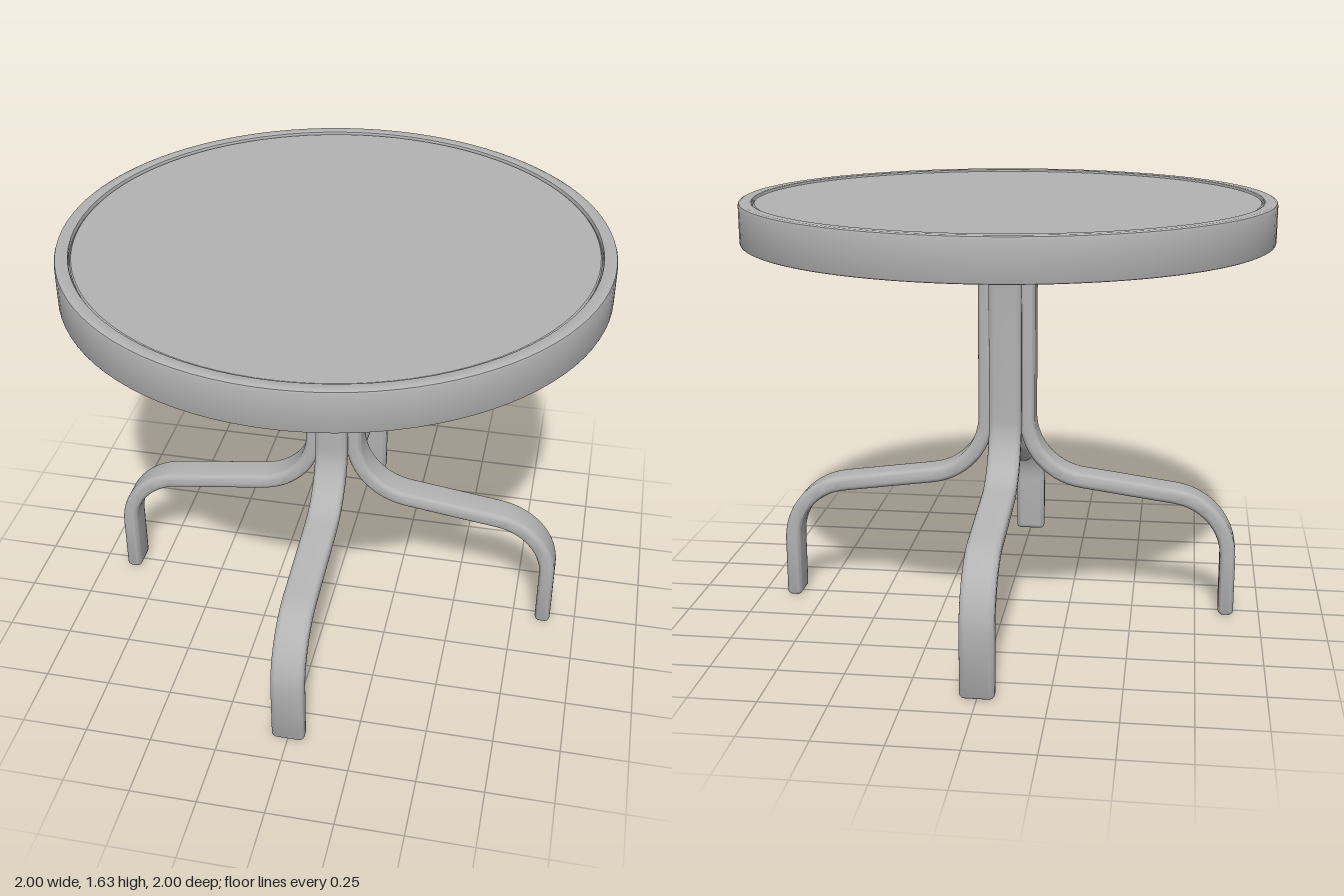
import * as THREE from 'three';
import { toCreasedNormals } from 'three/addons/utils/BufferGeometryUtils.js';

const HALF_W = 0.0625, HALF_T = 0.03, CORNER = 0.02;

// Rounded-rectangle outline of the leg bar: x = across thickness, y = across width
function barSection(inset) {
  const r = Math.max(CORNER - inset, 0.006);
  const t = HALF_T - inset - r, w = HALF_W - inset - r;
  const pts = [];
  [[1, 1], [-1, 1], [-1, -1], [1, -1]].forEach(([sx, sy], q) => {
    for (let i = 0; i <= 4; i++) {
      const a = (q + i / 4) * Math.PI / 2;
      pts.push([sx * t + r * Math.cos(a), sy * w + r * Math.sin(a)]);
    }
  });
  return pts;
}

// Stations along the leg: position, heading and section inset
function legPath() {
  const out = [];
  const slope = 7.5 * Math.PI / 180, up = Math.PI / 2;
  const add = (x, y, heading, inset = 0) => out.push({ x, y, heading, inset });
  // turn: +1 bends left of travel, -1 bends right
  const arc = (cx, cy, r, h0, h1, turn) => {
    for (let i = 0; i <= 14; i++) {
      const h = h0 + (h1 - h0) * i / 14;
      add(cx + turn * r * Math.sin(h), cy - turn * r * Math.cos(h), h);
    }
  };
  // rounded foot
  for (let i = 0; i <= 4; i++) {
    const a = i / 4 * Math.PI / 2;
    add(0.87, 0.018 * (1 - Math.cos(a)), up, 0.018 * (1 - Math.sin(a)));
  }
  arc(0.625, 0.24, 0.245, up, Math.PI - slope, 1);
  arc(0.33, 0.78, 0.25, Math.PI - slope, up, -1);
  arc(0.33, 1.30, 0.25, up, 0.05, -1);
  add(0.85, 1.574, 0.05);
  add(0.86, 1.574, 0.05, 0.01);
  return out;
}

// Sweep the bar section along the path
function legGeometry() {
  const path = legPath(), pos = [], idx = [];
  const n = barSection(0).length;
  for (const s of path) {
    const nx = -Math.sin(s.heading), ny = Math.cos(s.heading);
    for (const [u, v] of barSection(s.inset)) pos.push(s.x + nx * u, s.y + ny * u, v);
  }
  for (let i = 0; i < path.length - 1; i++) {
    for (let j = 0; j < n; j++) {
      const k = (j + 1) % n, a = i * n + j, b = i * n + k;
      idx.push(a, b, a + n, b, b + n, a + n);
    }
  }
  // end caps
  const last = (path.length - 1) * n;
  for (let j = 1; j < n - 1; j++) {
    idx.push(0, j + 1, j, last, last + j, last + j + 1);
  }
  const g = new THREE.BufferGeometry();
  g.setAttribute('position', new THREE.Float32BufferAttribute(pos, 3));
  g.setIndex(idx);
  return toCreasedNormals(g, 0.9);
}

function lathe(points) {
  const g = new THREE.LatheGeometry(points.map(([r, y]) => new THREE.Vector2(r, y)), 96);
  return toCreasedNormals(g, 0.6);
}

export function createModel() {
  const root = new THREE.Group();
  root.name = 'roundTable';
  const grey = new THREE.MeshStandardMaterial({ color: 0xb3b3b3 });
  grey.name = 'grey';

  const mesh = (geometry, name, parent) => {
    const m = new THREE.Mesh(geometry, grey);
    m.name = name;
    parent.add(m);
    return m;
  };

  // Table top: a hollow rim with a small lip around a recessed panel
  mesh(lathe([
    [0.965, 1.475], [0.994, 1.475], [0.998, 1.477], [1, 1.482],
    [1, 1.618], [0.997, 1.626], [0.989, 1.63],
    [0.957, 1.63], [0.952, 1.628], [0.95, 1.623], [0.95, 1.6],
    [0.978, 1.6], [0.978, 1.485], [0.965, 1.485], [0.965, 1.475],
  ]), 'rim', root);
  mesh(lathe([
    [0, 1.603], [0.975, 1.603], [0.975, 1.61], [0.946, 1.61],
    [0.946, 1.617], [0.941, 1.622], [0, 1.622],
  ]), 'topPanel', root);

  // Four bent legs, each with a bracket under the panel
  const legGeo = legGeometry();
  const bracketGeo = new THREE.BoxGeometry(0.13, 0.03, 0.08);
  for (let i = 0; i < 4; i++) {
    const leg = new THREE.Group();
    leg.name = 'legAssembly' + (i + 1);
    leg.rotation.y = i * Math.PI / 2;
    mesh(legGeo, 'leg', leg);
    mesh(bracketGeo, 'bracket', leg).position.set(0.88, 1.588, 0);
    root.add(leg);
  }

  // Clips around the inside of the rim
  const clipGeo = new THREE.BoxGeometry(0.025, 0.085, 0.035);
  for (let i = 0; i < 12; i++) {
    const a = (i + 0.5) * Math.PI / 6;
    const clip = mesh(clipGeo, 'rimClip', root);
    clip.position.set(0.966 * Math.cos(a), 1.56, -0.966 * Math.sin(a));
    clip.rotation.y = a;
  }
  return root;
}
